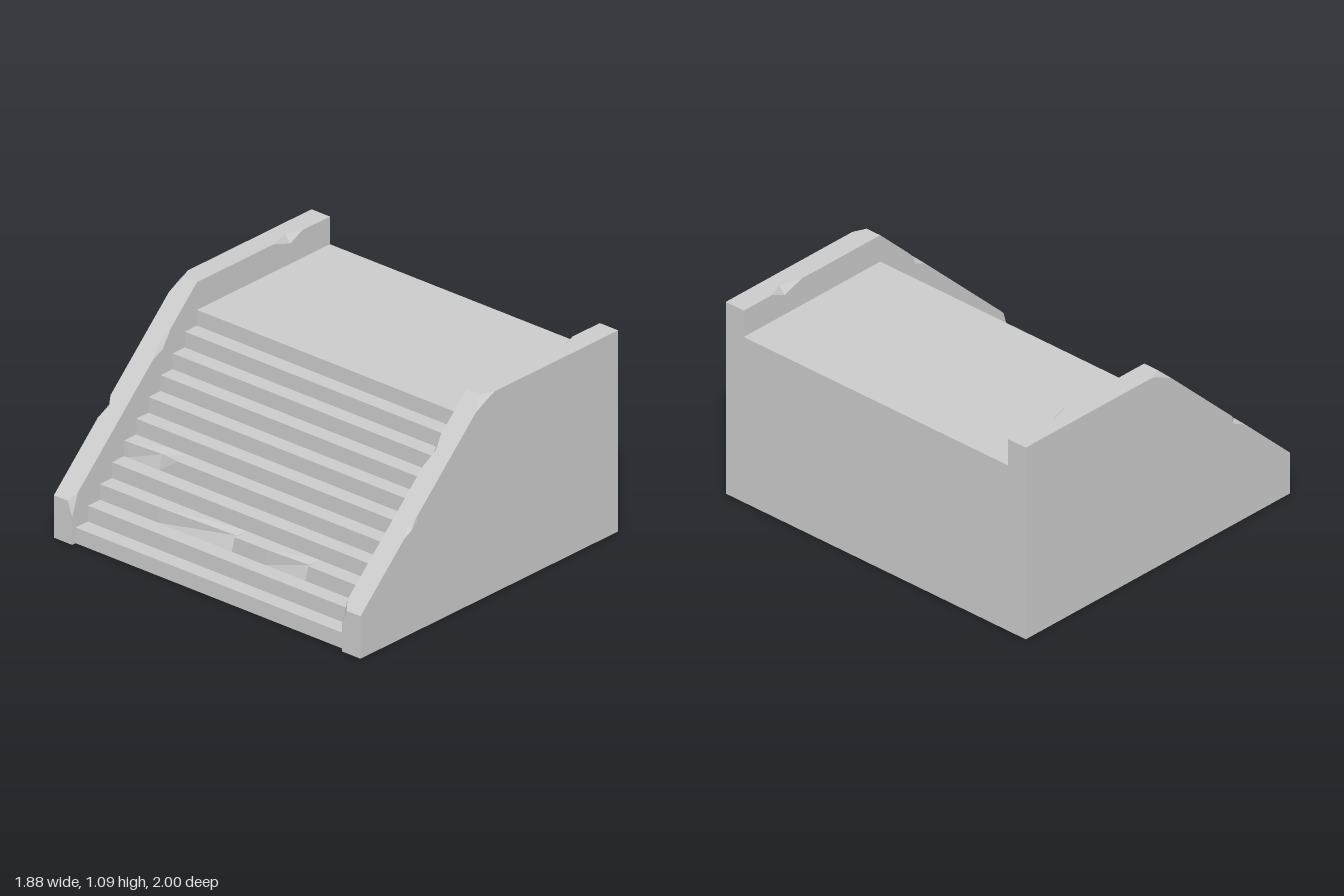
import * as THREE from 'three';

// Flat-shaded surface through a row of cross-sections, optionally closed and capped
function loft(sections, closed) {
  const pos = [];
  const tri = (a, b, c) => {
    const area = b.clone().sub(a).cross(c.clone().sub(a)).length();
    if (area > 1e-8) for (const p of [a, b, c]) pos.push(p.x, p.y, p.z);
  };
  const n = sections[0].length;
  for (let i = 0; i < sections.length - 1; i++) {
    const s = sections[i], t = sections[i + 1];
    for (let j = 0; j < (closed ? n : n - 1); j++) {
      const k = (j + 1) % n;
      tri(s[j], t[j], t[k]);
      tri(s[j], t[k], s[k]);
    }
  }
  if (closed) {
    const first = sections[0], last = sections[sections.length - 1];
    for (let j = 1; j < n - 1; j++) {
      tri(first[0], first[j], first[j + 1]);
      tri(last[0], last[j + 1], last[j]);
    }
  }
  const geo = new THREE.BufferGeometry();
  geo.setAttribute('position', new THREE.Float32BufferAttribute(pos, 3));
  geo.computeVertexNormals();
  return geo;
}

const BACK = 0.94, OUTER = 1, INNER = 0.88, WALL_TOP = 1.09;
const CREST = -0.03, FOOT = -0.94;
const STEPS = 11, FIRST = -0.915, DECK = 0.94;

// Height of the side wall: sloped beside the steps, level beside the deck
const wallHeight = (x) =>
  x >= CREST ? WALL_TOP : 0.23 + ((x - FOOT) / (CREST - FOOT)) * (WALL_TOP - 0.23);

// Stations along x: [x, outer chip drop, outer chip inset, inner chip drop, inner chip inset]
const stations = [
  [FOOT, 0, 0, 0.08, 0.03], [-0.9, 0, 0, 0, 0],
  [-0.62, 0, 0, 0, 0], [-0.565, 0.025, 0.025, 0, 0], [-0.53, 0.04, 0.002, 0, 0], [-0.525, 0, 0, 0, 0],
  [-0.35, 0, 0, 0, 0], [-0.28, 0, 0, 0.035, 0.02], [-0.22, 0, 0, 0, 0],
  [-0.1, 0, 0, 0, 0], [CREST, 0.03, 0.03, 0, 0], [0.04, 0, 0, 0, 0],
  [0.53, 0, 0, 0, 0], [0.65, 0, 0, 0.04, 0.035], [0.74, 0, 0, 0, 0], [BACK, 0, 0, 0, 0],
];

function sideWall(side) {
  const sections = stations.map(([x, oDrop, oIn, iDrop, iIn]) => {
    const y = wallHeight(x);
    const pts = [
      [0, OUTER], [y - oDrop, OUTER], [y, OUTER - oIn],
      [y, INNER + iIn], [y - iDrop, INNER], [0, INNER],
    ].map(([py, pz]) => new THREE.Vector3(x, py, pz * side));
    return side > 0 ? pts : pts.reverse();
  });
  return loft(sections, true);
}

// Worn step edges: [step index, z start, z deepest, z end, depth]
const dents = [
  [2, -0.5, -0.02, 0, 0.035], [2, 0.2, 0.46, 0.48, 0.025], [4, -0.86, -0.65, -0.53, 0.022],
];

function wear(step, z) {
  let d = 0;
  for (const [s, z0, zm, z1, depth] of dents) {
    if (s !== step || z <= z0 || z >= z1) continue;
    d = depth * (z < zm ? (z - z0) / (zm - z0) : (z1 - z) / (z1 - zm));
  }
  return d;
}

// Open shell: steps, deck and rear face in one profile swept between the walls
function stairShell() {
  const zs = [-INNER, ...dents.flatMap((d) => d.slice(1, 4)), INNER].sort((a, b) => a - b);
  const run = (CREST - FIRST) / (STEPS - 1), rise = DECK / STEPS;
  const sections = zs.map((z) => {
    const pts = [];
    for (let i = 0; i < STEPS; i++) {
      const x = FIRST + i * run, d = wear(i, z);
      pts.push(new THREE.Vector3(x, i * rise, z));
      pts.push(new THREE.Vector3(x + d, (i + 1) * rise - d * 0.3, z));
    }
    pts.push(new THREE.Vector3(BACK, DECK, z), new THREE.Vector3(BACK, 0, z));
    return pts;
  });
  return loft(sections, false);
}

export function createModel() {
  const group = new THREE.Group();
  group.name = 'staircase';
  const stone = new THREE.MeshStandardMaterial({
    color: 0xcccccc, flatShading: true, side: THREE.DoubleSide,
  });
  const add = (name, geo) => {
    const mesh = new THREE.Mesh(geo, stone);
    mesh.name = name;
    group.add(mesh);
  };
  add('frontSideWall', sideWall(1));
  add('rearSideWall', sideWall(-1));
  add('stepsAndDeck', stairShell());
  return group;
}
